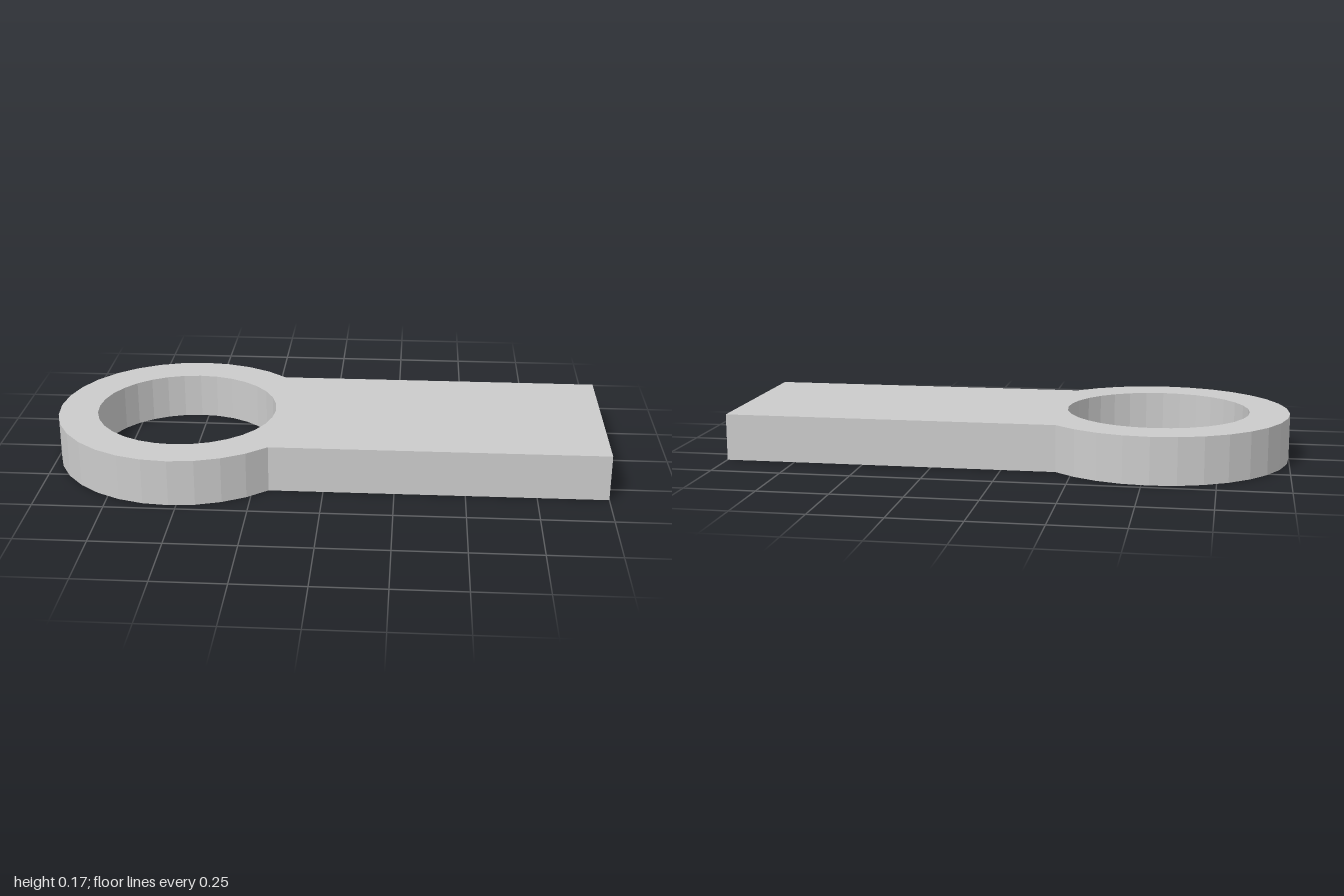
import * as THREE from 'three';

const HEIGHT = 0.167, CENTRE_X = -0.527, OUTER_R = 0.473, HOLE_R = 0.33;
const HALF_WIDTH = OUTER_R * Math.SQRT1_2; // the bar meets the ring at 45 degrees
const SIDES = 32;

// Points along a faceted arc around the ring centre
function arcPoints(radius, start, sweep, segments) {
  return Array.from({ length: segments + 1 }, (_, i) => {
    const a = start + (sweep * i) / segments;
    return new THREE.Vector2(CENTRE_X + radius * Math.cos(a), radius * Math.sin(a));
  });
}

export function createModel() {
  const group = new THREE.Group();
  group.name = 'ringEndedPlate';

  // Outline: three quarters of the ring, closed by the straight bar
  const outline = new THREE.Shape([
    ...arcPoints(OUTER_R, Math.PI / 4, Math.PI * 1.5, SIDES * 0.75),
    new THREE.Vector2(1, -HALF_WIDTH),
    new THREE.Vector2(1, HALF_WIDTH),
  ]);

  // Round through hole
  const hole = arcPoints(HOLE_R, 0, Math.PI * 2, SIDES).slice(0, SIDES);
  outline.holes.push(new THREE.Path(hole.reverse()));

  // Plate laid flat on the ground
  const geometry = new THREE.ExtrudeGeometry(outline, { depth: HEIGHT, bevelEnabled: false });
  geometry.rotateX(-Math.PI / 2);
  const plate = new THREE.Mesh(
    geometry,
    new THREE.MeshStandardMaterial({ color: 0xcccccc, flatShading: true })
  );
  plate.name = 'barWithRing';
  group.add(plate);
  return group;
}
